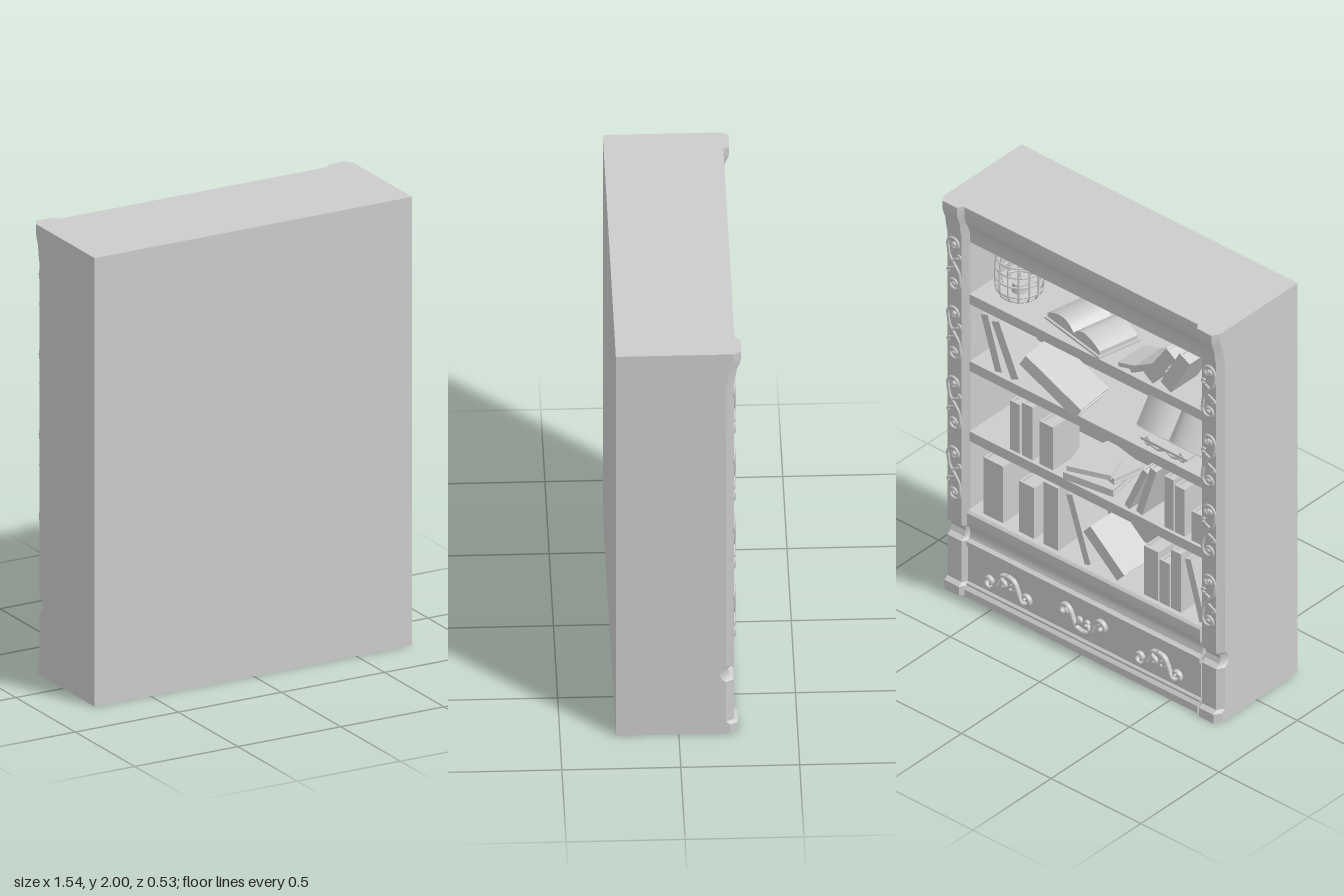
import * as THREE from 'three';
import { toCreasedNormals } from 'three/addons/utils/BufferGeometryUtils.js';

const grey = new THREE.MeshStandardMaterial({ color: 0xcccccc });
const V = (x, y, z = 0) => new THREE.Vector3(x, y, z);

function add(parent, name, geometry, x = 0, y = 0, z = 0) {
  const mesh = new THREE.Mesh(geometry, grey);
  mesh.name = name;
  mesh.position.set(x, y, z);
  parent.add(mesh);
  return mesh;
}

function addGroup(parent, name, x = 0, y = 0, z = 0) {
  const group = new THREE.Group();
  group.name = name;
  group.position.set(x, y, z);
  parent.add(group);
  return group;
}

const box = (w, h, d) => new THREE.BoxGeometry(w, h, d);
const shapeOf = pts => new THREE.Shape(pts.map(p => new THREE.Vector2(...p)));
const extrude = (shape, depth) =>
  new THREE.ExtrudeGeometry(shape, { depth, bevelEnabled: false, curveSegments: 10 });
const tube = (pts, r, n = 40) =>
  new THREE.TubeGeometry(new THREE.CatmullRomCurve3(pts), n, r, 6, false);

// Moulding: profile of [forward, height] run along x between the posts
function moulding(profile) {
  const g = extrude(shapeOf(profile), 1.3);
  g.rotateY(Math.PI / 2).translate(-0.65, 0, 0);
  return toCreasedNormals(g, 0.6);
}

// Corner post: chamfered section that follows a profile of [height, front z]
function postGeometry() {
  const rows = [[2, -0.14], [2, -0.263], [1.965, -0.263], [1.94, -0.257], [1.91, -0.245], [1.87, -0.24],
    [1.83, -0.232], [0.36, -0.232], [0.345, -0.228], [0.335, -0.212], [0.31, -0.204], [0.285, -0.212],
    [0.27, -0.232], [0.06, -0.232], [0.045, -0.25], [0, -0.25], [0, -0.14]];
  const xs = [-0.06, -0.06, -0.04, 0.04, 0.06, 0.06];
  const g = new THREE.PlaneGeometry(1, 1, xs.length - 1, rows.length - 1);
  const pos = g.attributes.position;
  for (let i = 0; i < pos.count; i++) {
    const c = i % xs.length, r = Math.floor(i / xs.length);
    const flat = r === 0 || r === rows.length - 1 || c === 0 || c === xs.length - 1;
    const chamfer = c === 1 || c === 4 ? 0.033 : 0;
    pos.setXYZ(i, -xs[c], rows[r][0], flat ? -0.14 : rows[r][1] + chamfer);
  }
  return toCreasedNormals(g, 0.5);
}

// Spiral of points winding into a centre
function curl(cx, cy, r, start, sweep, n = 9) {
  return Array.from({ length: n }, (_, i) => {
    const t = i / (n - 1), a = start + sweep * t, k = r * (1 - 0.72 * t);
    return V(cx + k * Math.cos(a), cy + k * Math.sin(a));
  });
}

// Upright S-scroll for the posts
function postScroll(parent, x, y, side) {
  const g = addGroup(parent, 'postScroll', x, y, -0.233);
  g.scale.set(side, 1, 0.9);
  for (const turn of [0, Math.PI]) {
    const half = addGroup(g, 'scrollHalf');
    half.rotation.z = turn;
    add(half, 'stem', tube([V(0, 0), V(0.025, 0.035), V(0.032, 0.07), ...curl(0, 0.1, 0.034, 0, 7.2)], 0.0085));
    add(half, 'leaf', tube([V(0.008, 0.015), V(-0.02, 0.03), ...curl(-0.024, 0.045, 0.016, -1, -4.5, 6)], 0.007, 20));
    add(half, 'bud', new THREE.SphereGeometry(0.012, 8, 6), 0, 0.1, 0);
  }
}

// Arched scroll for the base panel, mirrored halves
function panelScroll(parent, x, flip) {
  const g = addGroup(parent, 'panelScroll', x, 0.155, -0.222);
  g.scale.set(1, flip, 1.6);
  for (const s of [-1, 1]) {
    const half = addGroup(g, 'scrollHalf');
    half.scale.x = s;
    add(half, 'stem', tube([V(0, 0.045), V(0.035, 0.035), V(0.055, 0), V(0.07, -0.035),
      ...curl(0.1, -0.025, 0.03, -2, 6.5)], 0.0085));
    add(half, 'leaf', tube([V(0.04, 0.03), V(0.025, 0), ...curl(0.025, -0.008, 0.018, 1.2, 5, 7)], 0.007, 24));
  }
}

// Book with spine towards the front; lean > 0 tips its top towards +x
function book(parent, [x, w, h, lean = 0, d = 0.17, z = -0.19, turn = 0, lift = 0], y) {
  const pivot = addGroup(parent, 'book', x, y + lift, z);
  pivot.rotation.set(0, turn, -lean, 'YXZ');
  const b = addGroup(pivot, 'bookBody', -Math.sign(lean) * w / 2, 0, 0);
  const t = Math.min(0.01, w / 5);
  for (const s of [-1, 1]) add(b, 'cover', box(t, h, d), s * (w - t) / 2, h / 2, d / 2);
  add(b, 'spine', box(w - 2 * t, h, t), 0, h / 2, t / 2);
  add(b, 'pages', box(w - 2 * t, h - 0.02, d - t - 0.008), 0, h / 2, t + (d - t - 0.008) / 2);
}

// Open book lying face up, its gutter along z
function openBook(parent, name, w, d) {
  const g = addGroup(parent, name);
  for (const s of [-1, 1]) {
    const page = new THREE.Shape();
    page.moveTo(0, 0.008);
    page.lineTo(s * w / 2, 0.008);
    page.lineTo(s * w / 2, 0.03);
    page.bezierCurveTo(s * w * 0.32, 0.07, s * w * 0.12, 0.085, 0, 0.025);
    add(g, 'pages', toCreasedNormals(extrude(page, d), 0.6), 0, 0, -d / 2);
  }
  add(g, 'cover', box(w + 0.02, 0.01, d + 0.02), 0, 0.005, 0);
  return g;
}

// Round wire basket
function basket(parent, x, y, z) {
  const g = addGroup(parent, 'wireBasket', x, y, z);
  const outline = [[0.085, 0.005], [0.1, 0.03], [0.1, 0.19], [0.085, 0.225], [0.05, 0.24]];
  const n = 14;
  for (let i = 0; i < n; i++) {
    const wire = add(g, 'wire', tube(outline.map(([r, h]) => V(r, h)), 0.004, 14));
    wire.rotation.y = i * 2 * Math.PI / n;
  }
  for (const [r, h] of [[0.085, 0.008], [0.1, 0.04], [0.1, 0.09], [0.1, 0.14], [0.1, 0.19], [0.05, 0.24]])
    add(g, 'hoop', new THREE.TorusGeometry(r, 0.005, 6, 28).rotateX(Math.PI / 2), 0, h, 0);
  add(g, 'basketFloor', new THREE.CylinderGeometry(0.08, 0.08, 0.012, 24), 0, 0.006, 0);
  add(g, 'candle', new THREE.CylinderGeometry(0.03, 0.035, 0.05, 16), 0, 0.03, 0);
}

export function createModel() {
  const model = new THREE.Group();
  model.name = 'bookcase';

  // Carcass: frame with one large opening, closed by a thick back
  const frame = shapeOf([[-0.77, 0], [0.77, 0], [0.77, 2], [-0.77, 2]]);
  frame.holes.push(shapeOf([[-0.65, 0.43], [-0.65, 1.8], [0.65, 1.8], [0.65, 0.43]]));
  add(model, 'frame', extrude(frame, 0.25), 0, 0, -0.15);
  add(model, 'back', box(1.54, 2, 0.165), 0, 1, 0.1825);

  // Cornice, base mouldings and shelves
  add(model, 'cornice', moulding([[0.14, 1.8], [0.2, 1.8], [0.2, 1.835], [0.206, 1.865], [0.215, 1.89],
    [0.228, 1.91], [0.236, 1.94], [0.238, 2], [0.14, 2]]));
  add(model, 'base', moulding([[0.14, 0], [0.237, 0], [0.237, 0.035], [0.225, 0.05], [0.225, 0.06],
    [0.215, 0.068], [0.215, 0.245], [0.225, 0.253], [0.225, 0.275], [0.208, 0.285], [0.199, 0.31],
    [0.203, 0.335], [0.218, 0.355], [0.222, 0.38], [0.222, 0.42], [0.212, 0.43], [0.14, 0.43]]));
  const levels = [0.43, 0.83, 1.19, 1.535];
  for (const y of levels.slice(1)) add(model, 'shelf', box(1.3, 0.05, 0.305), 0, y - 0.025, -0.0525);

  // Posts with four scrolls each, then the base panel scrolls
  const post = postGeometry();
  for (const s of [-1, 1]) {
    add(model, 'post', post, s * 0.71, 0, 0);
    for (const y of [0.605, 0.965, 1.325, 1.68]) postScroll(model, s * 0.71, y, s);
  }
  for (const [x, flip] of [[-0.42, 1], [0, -1], [0.42, 1]]) panelScroll(model, x, flip);

  // Books: x, thickness, height, lean, depth, z, turn, lift
  const rows = [
    [[0.53, 0.11, 0.29], [0.345, 0.085, 0.26], [0.21, 0.08, 0.32], [0.02, 0.035, 0.33, 0.32],
      [-0.16, 0.06, 0.25, 0.85, 0.19], [-0.35, 0.08, 0.25], [-0.425, 0.055, 0.22], [-0.49, 0.055, 0.3],
      [-0.62, 0.035, 0.3, 0.28]],
    [[0.41, 0.055, 0.25], [0.34, 0.06, 0.27], [0.235, 0.075, 0.22],
      [-0.12, 0.035, 0.25, Math.PI / 2, 0.17, -0.17, 0.15], [-0.1, 0.03, 0.24, Math.PI / 2, 0.16, -0.14, -0.2, 0.037],
      [-0.1, 0.025, 0.2, Math.PI / 2, 0.14, -0.16, 0.35, 0.07],
      [-0.23, 0.03, 0.25, -0.42], [-0.3, 0.035, 0.27, -0.3], [-0.45, 0.05, 0.26], [-0.51, 0.055, 0.24],
      [-0.605, 0.06, 0.15]],
    [[0.52, 0.04, 0.27, 0.3], [0.43, 0.045, 0.27, 0.42], [0.04, 0.065, 0.33, 1.05, 0.2, -0.23, 0.1]],
    [[-0.17, 0.02, 0.28, -1.3], [-0.24, 0.03, 0.24, -1.05], [-0.36, 0.06, 0.22, -0.6], [-0.46, 0.065, 0.22, -0.5]],
  ];
  rows.forEach((row, i) => row.forEach(b => book(model, b, levels[i])));

  // Top shelf display
  basket(model, 0.5, levels[3], -0.056);
  const lying = openBook(model, 'lyingOpenBook', 0.36, 0.2);
  lying.position.set(0.09, levels[3], -0.06);
  lying.rotation.y = -0.2;

  // Open book on a scrolled reading stand
  const stand = addGroup(model, 'readingStand', -0.42, levels[2], -0.06);
  const raised = openBook(stand, 'raisedOpenBook', 0.36, 0.25);
  raised.position.set(0, 0.15, 0);
  raised.rotation.x = -0.95;
  add(stand, 'ledge', box(0.26, 0.012, 0.06), 0, 0.035, -0.1);
  add(stand, 'strut', box(0.03, 0.2, 0.015), 0, 0.09, 0.06).rotation.x = -0.3;
  for (const s of [-1, 1]) {
    const foot = add(stand, 'scrolledFoot',
      tube([V(0, 0.03), V(0.04, 0.012), V(0.08, 0.02), ...curl(0.09, 0.032, 0.02, -1, 5)], 0.008), 0, 0, -0.12);
    foot.rotation.y = s > 0 ? 0 : Math.PI;
  }
  return model;
}
